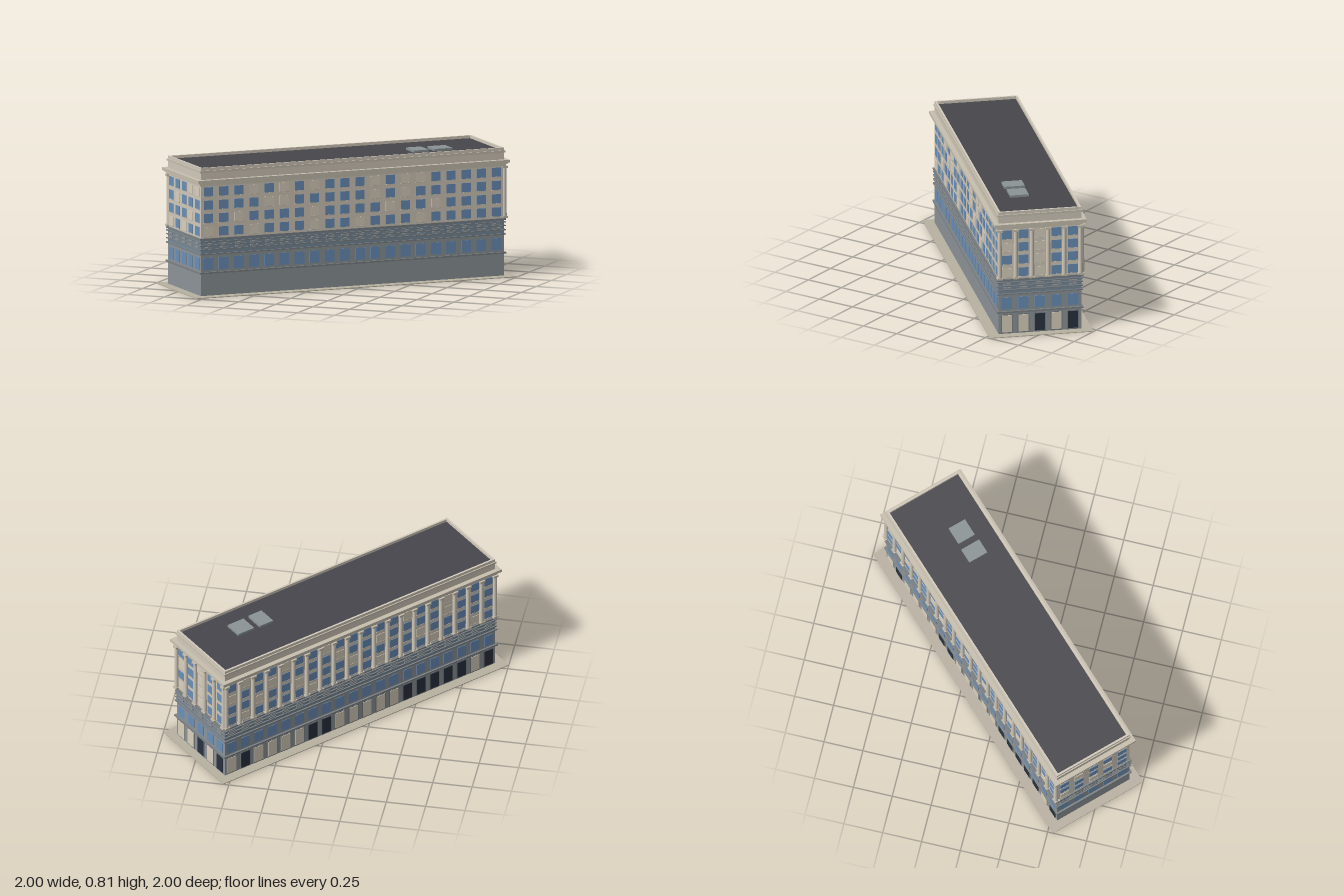
import * as THREE from 'three';
import { mergeGeometries } from 'three/addons/utils/BufferGeometryUtils.js';

const LEN = 2.055, WID = 0.527;
const mat = (color) => new THREE.MeshStandardMaterial({ color });
const STONE = mat(0xd2cabb), TRIM = mat(0xc8c0b0), GREY = mat(0x8d9498), DARK_TRIM = mat(0x7c8286);
const GLASS = mat(0x6a90ba), BLIND = mat(0xdad1bf), DOOR = mat(0x28323f), ROOF = mat(0x47464c);
const BAND = mat(0x768a9b), PAVING = mat(0xb9b2a2), HATCH = mat(0x8b9496);

function add(parent, name, geometry, material) {
  const mesh = new THREE.Mesh(geometry, material);
  mesh.name = name;
  parent.add(mesh);
  return mesh;
}

// Full-plan storey or ledge from y0 to y1, standing out by m beyond the walls
function slab(parent, name, material, y0, y1, m = 0) {
  const g = new THREE.BoxGeometry(LEN + 2 * m, y1 - y0, WID + 2 * m);
  add(parent, name, g.translate(0, (y0 + y1) / 2, 0), material);
}

// Hollow rectangular rim from y0 to y1
function rim(parent, name, material, y0, y1, m, inset) {
  const rect = (path, a, b) => path.moveTo(-a, -b).lineTo(a, -b).lineTo(a, b).lineTo(-a, b).closePath();
  const shape = rect(new THREE.Shape(), LEN / 2 + m, WID / 2 + m);
  shape.holes.push(rect(new THREE.Path(), LEN / 2 - inset, WID / 2 - inset));
  const g = new THREE.ExtrudeGeometry(shape, { depth: y1 - y0, bevelEnabled: false });
  add(parent, name, g.rotateX(-Math.PI / 2).translate(0, y0, 0), material);
}

const panel = (x, y0, y1, w, depth) =>
  new THREE.BoxGeometry(w, y1 - y0, depth).translate(x, (y0 + y1) / 2, depth / 2 - 0.002);

// One side of the building: x runs along the wall, z = 0 is the wall plane
function facade(name, width, bays, rows, doors, columns) {
  const group = new THREE.Group();
  group.name = name;
  const pitch = width / bays;
  const bayX = (i) => (i + 0.5) * pitch - width / 2;
  const glass = [], blinds = [], darkDoors = [], paleDoors = [], frames = [], dashes = [], sills = [];

  for (let i = 0; i < bays; i++) {
    const x = bayX(i);
    glass.push(panel(x, 0.168, 0.244, 0.066, 0.005));
    // Ribbon storey openings
    dashes.push(panel(x, 0.303, 0.313, 0.05, 0.01), panel(x, 0.328, 0.337, 0.05, 0.01));
    // Four upper storeys, some windows with closed blinds
    rows.forEach((row, r) => {
      const y = 0.634 - r * 0.084;
      (row[i] === 'b' ? glass : blinds).push(panel(x, y, y + 0.057, 0.062, 0.005));
      sills.push(panel(x, y - 0.005, y, 0.066, 0.007));
    });
    if (doors) {
      (doors[i] === 'd' ? darkDoors : paleDoors).push(panel(x, 0.015, 0.127, 0.064, 0.007));
      frames.push(panel(x, 0.006, 0.133, 0.076, 0.004));
    }
  }

  add(group, 'windows', mergeGeometries(glass), GLASS);
  add(group, 'ribbonWindows', mergeGeometries(dashes), GREY);
  add(group, 'windowSills', mergeGeometries(sills), TRIM);
  if (blinds.length) add(group, 'blindWindows', mergeGeometries(blinds), BLIND);
  if (doors) {
    add(group, 'doorFrames', mergeGeometries(frames), DARK_TRIM);
    add(group, 'darkDoors', mergeGeometries(darkDoors), DOOR);
    add(group, 'paleDoors', mergeGeometries(paleDoors), BLIND);
  }

  // Engaged columns at the bay lines with square base and capital
  if (columns) {
    const shafts = [], blocks = [];
    for (let i = 0; i <= bays; i++) {
      const x = (i / bays - 0.5) * (width - 0.012);
      shafts.push(new THREE.CylinderGeometry(0.0125, 0.015, 0.33, 12, 1, true).translate(x, 0.535, 0.006));
      blocks.push(new THREE.BoxGeometry(0.036, 0.012, 0.036).translate(x, 0.376, 0.004));
      blocks.push(new THREE.BoxGeometry(0.036, 0.014, 0.036).translate(x, 0.693, 0.004));
    }
    add(group, 'columnShafts', mergeGeometries(shafts), STONE);
    add(group, 'columnBlocks', mergeGeometries(blocks), TRIM);
  }
  return group;
}

export function createModel() {
  const model = new THREE.Group();
  model.name = 'building';
  const block = new THREE.Group();
  block.name = 'block';
  block.rotation.y = Math.PI / 4;
  model.add(block);

  // Paving
  add(block, 'paving', new THREE.BoxGeometry(2.171, 0.005, 0.658).translate(0, 0.0025, 0), PAVING);

  // Walls
  slab(block, 'groundStorey', GREY, 0.004, 0.148);
  slab(block, 'secondStorey', GREY, 0.148, 0.268);
  slab(block, 'ribbonStorey', BAND, 0.268, 0.362);
  slab(block, 'upperWalls', STONE, 0.362, 0.705);

  // Ledges between the lower storeys
  slab(block, 'lowerLedge', DARK_TRIM, 0.144, 0.155, 0.012);
  slab(block, 'middleLedge', DARK_TRIM, 0.264, 0.272, 0.01);
  for (const y of [0.292, 0.318, 0.341]) slab(block, 'ribbonLedge', DARK_TRIM, y, y + 0.007, 0.009);
  slab(block, 'upperLedge', DARK_TRIM, 0.358, 0.369, 0.011);

  // Stepped cornice
  slab(block, 'corniceBed', TRIM, 0.7, 0.712, 0.01);
  slab(block, 'corniceStep', TRIM, 0.712, 0.722, 0.018);
  slab(block, 'cornice', TRIM, 0.722, 0.74, 0.03);

  // Parapet around a sunken roof
  slab(block, 'attic', STONE, 0.74, 0.785);
  slab(block, 'roof', ROOF, 0.784, 0.797, -0.01);
  rim(block, 'parapetLedge', TRIM, 0.784, 0.797, 0.007, 0.013);
  rim(block, 'parapet', STONE, 0.797, 0.815, 0, 0.013);

  // Roof hatches
  for (const [x, w, d] of [[0.523, 0.1, 0.13], [0.674, 0.12, 0.118]])
    add(block, 'roofHatch', new THREE.BoxGeometry(w, 0.016, d).translate(x, 0.804, 0.071), HATCH);

  // Four sides; b = bare glass, c = closed blind, d = dark door
  const sides = [
    ['plainLongSide', LEN, 20, ['bbbcbcbcbbbcbccbbbbb', 'bbbbccbbbbbcbcbbbbbb',
      'bbcbbbbcbbbbcbbcbbbb', 'cbbcbbbcbbcbbbcbbbbb'], null, false],
    ['columnedShortSide', WID, 5, ['bbcbb', 'cbcbb', 'bbcbb', 'cbcbb'], 'ccdcd', true],
    ['columnedLongSide', LEN, 20, ['bcbbcbbcbbbbbcbbcbbb', 'cbbcbbbbcbbcbbbbcbbb',
      'bbcbbcbbbcbbbbcbbbbb', 'bcbbbbcbbbbcbbbcbbcb'], 'cdccccddcccccdddddcd', true],
    ['plainShortSide', WID, 5, ['bbbcc', 'bcbbb', 'bbbcb', 'cbcbb'], null, false],
  ];
  sides.forEach(([name, width, bays, rows, doors, columns], i) => {
    const side = facade(name, width, bays, rows, doors, columns);
    side.rotation.y = i * Math.PI / 2;
    side.translateZ((i % 2 ? LEN : WID) / 2);
    block.add(side);
  });
  return model;
}
